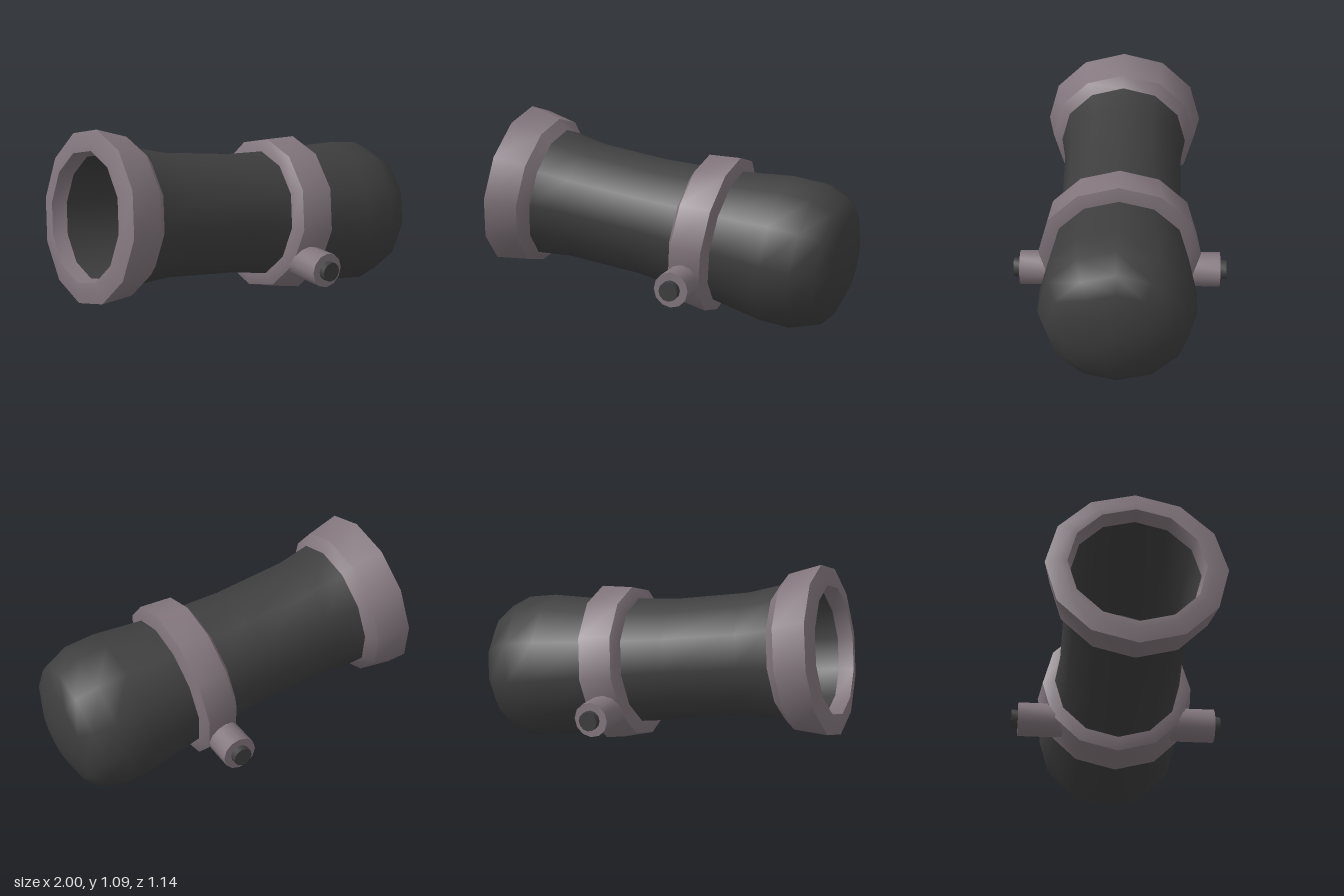
import * as THREE from 'three';
import { toCreasedNormals } from 'three/addons/utils/BufferGeometryUtils.js';

const SIDES = 12;

export function createModel() {
  const model = new THREE.Group();
  model.name = 'cannonBarrel';
  const iron = new THREE.MeshStandardMaterial({ color: 0x3e3e3e });
  iron.name = 'darkIron';
  const trim = new THREE.MeshStandardMaterial({ color: 0x82767c });
  trim.name = 'greyTrim';

  // Everything turned on the barrel axis lives in one tilted group
  const barrel = new THREE.Group();
  barrel.name = 'barrel';
  barrel.position.y = 0.51;
  barrel.rotation.z = -THREE.MathUtils.degToRad(98.5);
  model.add(barrel);

  // Turned part from [radius, distance along axis] pairs
  const turn = (name, profile, material, creased) => {
    let geo = new THREE.LatheGeometry(profile.map(([r, t]) => new THREE.Vector2(r, t)), SIDES);
    if (creased) geo = toCreasedNormals(geo, THREE.MathUtils.degToRad(32));
    const mesh = new THREE.Mesh(geo, material);
    mesh.name = name;
    barrel.add(mesh);
  };

  // Waisted tube swelling into the rounded breech
  turn('body', [
    [0.37, -0.80], [0.358, -0.71], [0.331, -0.525], [0.326, -0.12], [0.342, 0.12],
    [0.358, 0.33], [0.398, 0.607], [0.398, 0.768], [0.351, 0.89], [0.278, 0.948],
    [0.16, 0.987], [0.065, 1.002], [0, 1.004],
  ], iron, false);

  // Hollow bore, facing inward
  turn('bore', [[0, -0.1], [0.31, -0.1], [0.31, -0.1], [0.32, -0.88]], iron, true);

  // Flared muzzle ring with its inner lip
  turn('muzzleRing', [
    [0.32, -0.88], [0.338, -0.957], [0.372, -0.957], [0.446, -0.936],
    [0.412, -0.759], [0.359, -0.708], [0.34, -0.708],
  ], trim, true);

  // Reinforcing band with bevelled edges
  turn('band', [
    [0.32, 0.105], [0.346, 0.105], [0.407, 0.135], [0.427, 0.308], [0.362, 0.333], [0.34, 0.333],
  ], trim, true);

  // Trunnions and their end pins on both sides
  const rod = (name, radius, from, to, side, material) => {
    const geo = new THREE.CylinderGeometry(radius, radius, to - from, SIDES);
    geo.rotateX(Math.PI / 2);
    const mesh = new THREE.Mesh(toCreasedNormals(geo, THREE.MathUtils.degToRad(40)), material);
    mesh.name = name;
    mesh.position.set(0.188, 0.294, side * (from + to) / 2);
    model.add(mesh);
  };
  for (const side of [1, -1]) {
    const label = side > 0 ? 'front' : 'back';
    rod(label + 'Trunnion', 0.092, 0.25, 0.535, side, trim);
    rod(label + 'TrunnionPin', 0.051, 0.5, 0.57, side, iron);
  }
  return model;
}
